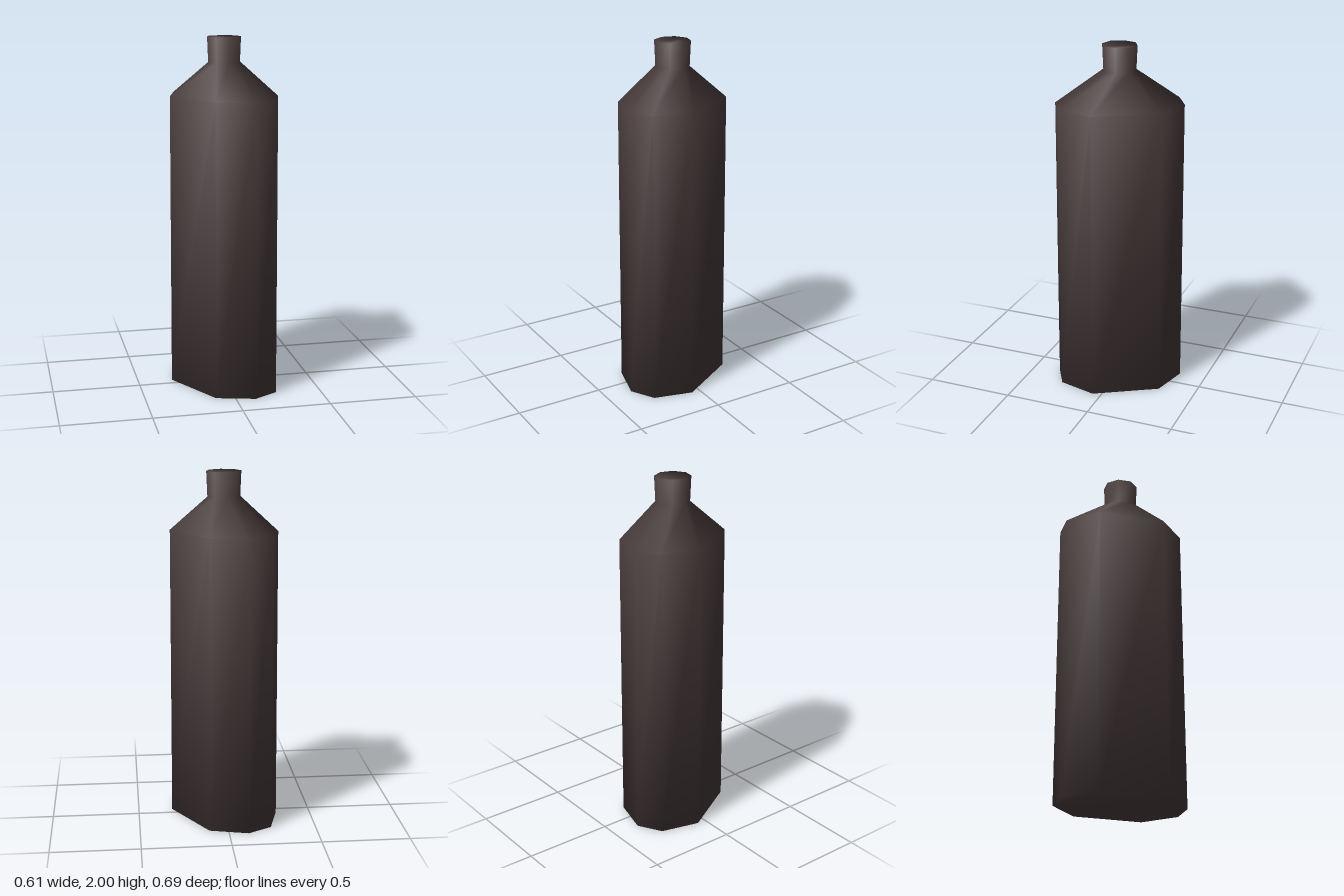
import * as THREE from 'three';

// Half outlines (x, z); the other half is the same turned by 180 degrees
const bodyHalf = [[-0.11, -0.345], [0.108, -0.288], [0.303, 0.05], [0.245, 0.269]];
const neckHalf = [[-0.01, -0.099], [0.062, -0.079], [0.098, -0.01], [0.078, 0.062]];
const fullTurn = (half) => [...half, ...half.map(([x, z]) => [-x, -z])];

// A ring of eight corners with smooth normals; tilt leans the normals up or down
function makeRing(half, y, scale, tilt) {
  const outline = fullTurn(half);
  const n = outline.length;
  const edgeNormal = (i) => {
    const a = outline[(i + n) % n], b = outline[(i + 1) % n];
    return new THREE.Vector3(b[1] - a[1], 0, a[0] - b[0]).normalize();
  };
  return outline.map(([x, z], i) => {
    const normal = edgeNormal(i - 1).add(edgeNormal(i)).normalize();
    normal.y = tilt;
    return { point: [x * scale, y, z * scale], normal: normal.normalize().toArray() };
  });
}

// Wall between two rings, with an optional flat end below or above
function loft(name, material, lower, upper, closed) {
  const n = lower.length;
  const corners = [...lower, ...upper];
  const index = [];
  for (let i = 0; i < n; i++) {
    const j = (i + 1) % n;
    index.push(j, i, n + i, j, n + i, n + j);
  }
  for (let k = 1; k < n - 1; k++) {
    if (closed === 'bottom') index.push(0, k, k + 1);
    if (closed === 'top') index.push(n, n + k + 1, n + k);
  }
  const geometry = new THREE.BufferGeometry();
  geometry.setAttribute('position', new THREE.Float32BufferAttribute(corners.flatMap((c) => c.point), 3));
  geometry.setAttribute('normal', new THREE.Float32BufferAttribute(corners.flatMap((c) => c.normal), 3));
  geometry.setIndex(index);
  const mesh = new THREE.Mesh(geometry, material);
  mesh.name = name;
  return mesh;
}

export function createModel() {
  const group = new THREE.Group();
  group.name = 'bottle';
  const darkGlass = new THREE.MeshStandardMaterial({ color: 0x483b3b });
  darkGlass.name = 'dark brown glass';

  const base = makeRing(bodyHalf, 0, 1, -0.6);
  const shoulderEdge = makeRing(bodyHalf, 1.67, 0.985, 0.4);
  const neckFoot = makeRing(neckHalf, 1.86, 0.94, 0.4);
  const neckTop = makeRing(neckHalf, 2, 1, 0.6);

  group.add(
    loft('body', darkGlass, base, shoulderEdge, 'bottom'),
    loft('shoulder', darkGlass, shoulderEdge, neckFoot),
    loft('neck', darkGlass, neckFoot, neckTop, 'top'),
  );
  return group;
}
